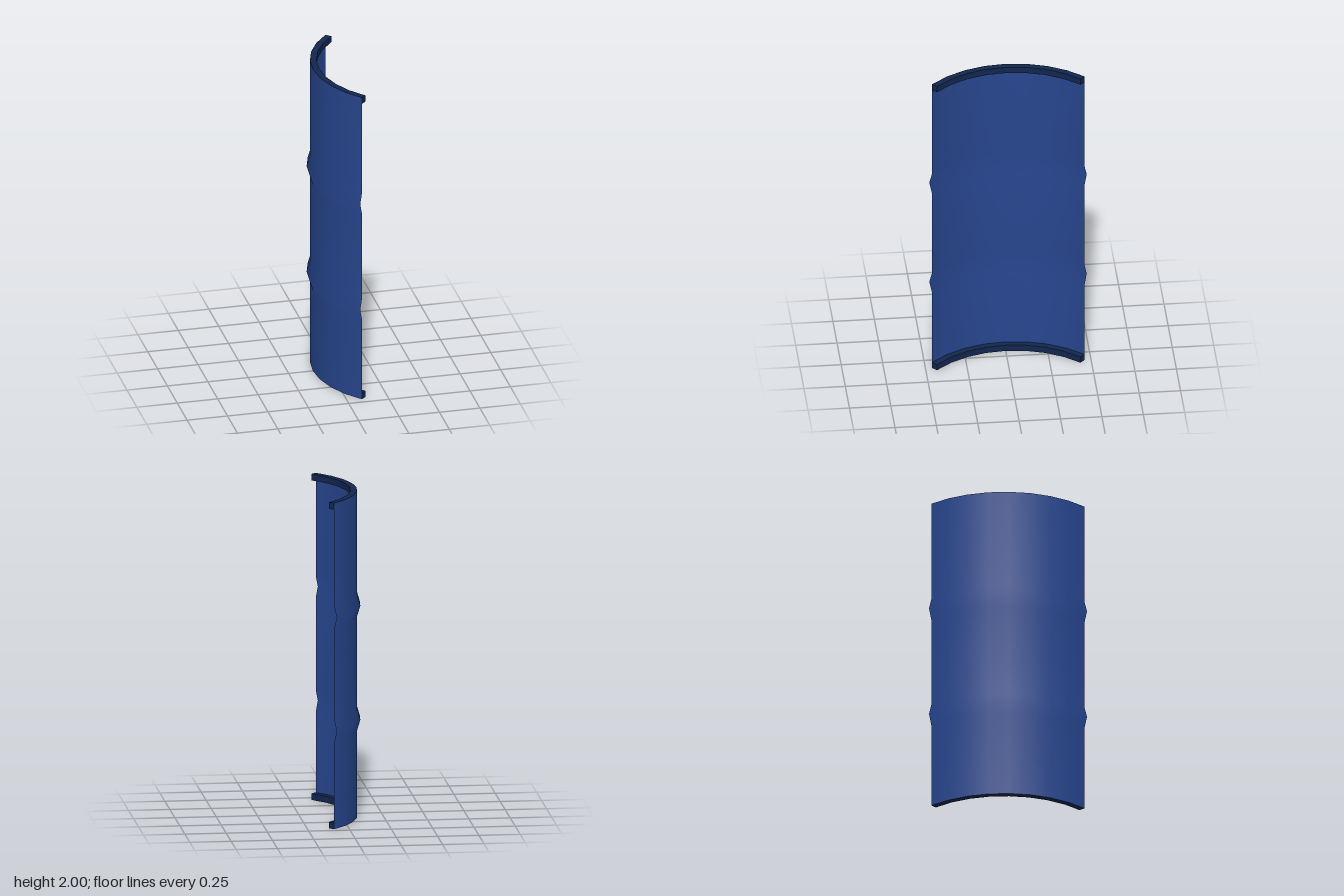
import * as THREE from 'three';
import { toCreasedNormals } from 'three/addons/utils/BufferGeometryUtils.js';

const RADIUS = 0.652;   // curved sheet
const RIM_INNER = 0.612;
const RIDGE = 0.02;     // how far the ridges bulge outwards
const HEIGHT = 2;
const RIM_HEIGHT = 0.04;
const SEGMENTS = 8;     // over a quarter turn

// Quarter arc bulging towards -x, centred on the origin
function arcPoints(radius) {
  return Array.from({ length: SEGMENTS + 1 }, (_, i) => {
    const a = Math.PI * (0.75 + 0.5 * i / SEGMENTS);
    return new THREE.Vector2(radius * Math.cos(a), radius * Math.sin(a));
  });
}

export function createModel() {
  const group = new THREE.Group();
  group.name = 'curvedPanel';
  const sheetBlue = new THREE.MeshStandardMaterial({ color: 0x27468f, side: THREE.DoubleSide });
  sheetBlue.name = 'sheet blue';
  const rimBlue = new THREE.MeshStandardMaterial({ color: 0x12264f });
  rimBlue.name = 'dark rim blue';

  // Sheet: a quarter of a drum wall with two pressed ridges
  const profile = [new THREE.Vector2(RADIUS, 0)];
  for (const y of [0.6, 1.3]) {
    profile.push(
      new THREE.Vector2(RADIUS, y - 0.067),
      new THREE.Vector2(RADIUS + RIDGE, y),
      new THREE.Vector2(RADIUS, y + 0.067)
    );
  }
  profile.push(new THREE.Vector2(RADIUS, HEIGHT));
  const sheet = new THREE.Mesh(
    new THREE.LatheGeometry(profile, SEGMENTS, Math.PI * 1.25, Math.PI / 2), sheetBlue);
  sheet.name = 'ridgedSheet';
  group.add(sheet);

  // Rims: curved bars on the hollow side, at the top and bottom edges
  const outline = new THREE.Shape([
    ...arcPoints(RADIUS - 0.001),
    ...arcPoints(RIM_INNER).reverse()
  ]);
  const rimGeometry = toCreasedNormals(
    new THREE.ExtrudeGeometry(outline, { depth: RIM_HEIGHT, bevelEnabled: false }).rotateX(Math.PI / 2), 0.5);
  for (const [name, top] of [['bottomRim', RIM_HEIGHT], ['topRim', HEIGHT]]) {
    const rim = new THREE.Mesh(rimGeometry, rimBlue);
    rim.name = name;
    rim.position.y = top;
    group.add(rim);
  }

  // Centre the arc on x = 0
  for (const part of group.children) part.position.x = 0.552;
  return group;
}
